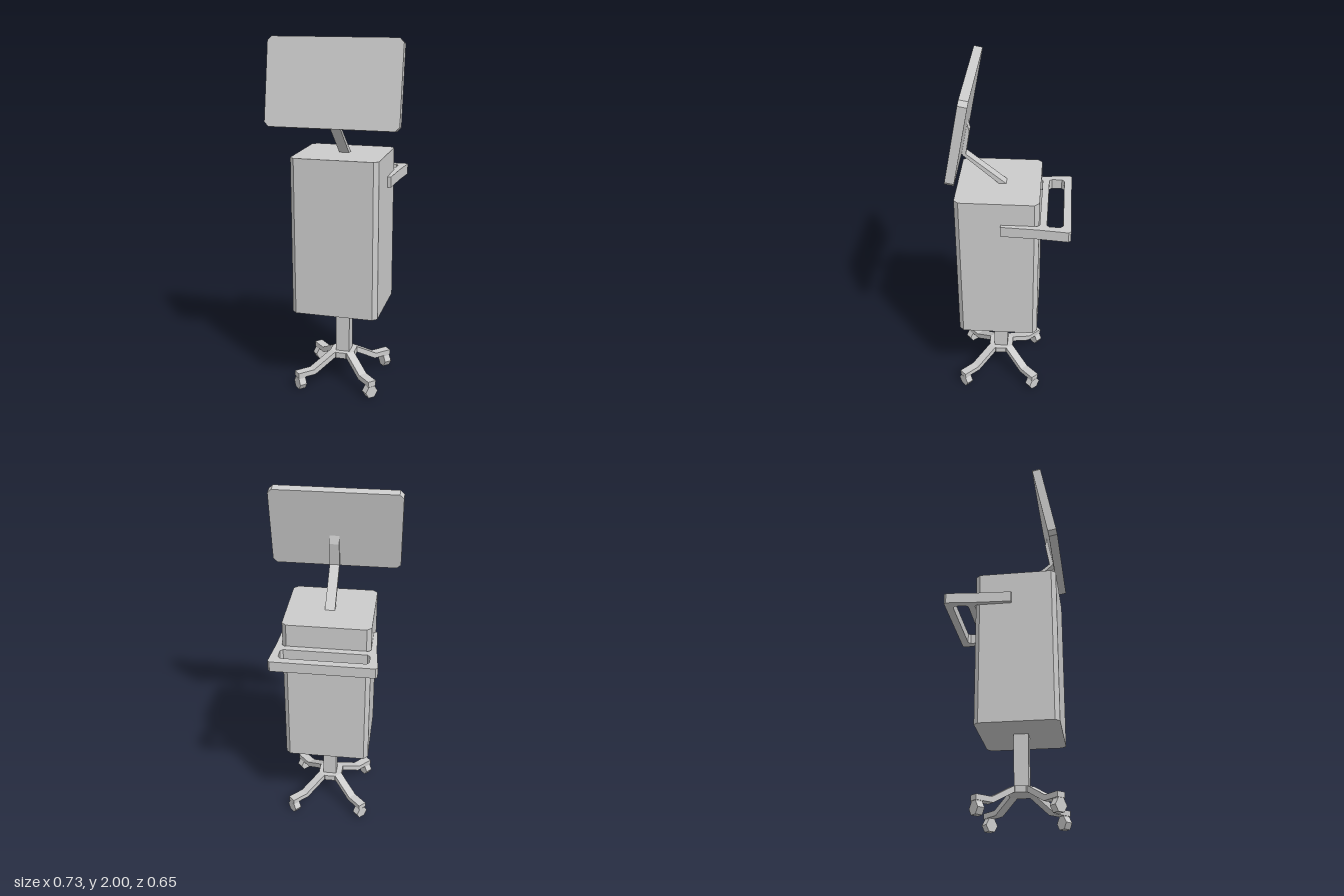
import * as THREE from 'three';

const material = new THREE.MeshStandardMaterial({ color: 0xcccccc, flatShading: true });

function mesh(name, geometry) {
  const m = new THREE.Mesh(geometry, material);
  m.name = name;
  return m;
}

const toVectors = (points) => points.map(([x, y]) => new THREE.Vector2(x, y));

// Straight prism from an outline, centred along its depth
function prism(points, depth, holes = []) {
  const shape = new THREE.Shape(toVectors(points));
  holes.forEach((h) => shape.holes.push(new THREE.Path(toVectors(h))));
  return new THREE.ExtrudeGeometry(shape, { depth, bevelEnabled: false }).translate(0, 0, -depth / 2);
}

// Rectangle outline with cut corners
function cutRect(x0, y0, x1, y1, c) {
  return [[x0 + c, y0], [x1 - c, y0], [x1, y0 + c], [x1, y1 - c],
    [x1 - c, y1], [x0 + c, y1], [x0, y1 - c], [x0, y0 + c]];
}

export function createModel() {
  const model = new THREE.Group();
  model.name = 'screenCart';
  const cx = 0.006, cz = 0.072;

  // Cabinet with chamfered upright edges
  const cabinet = mesh('cabinet',
    prism(cutRect(-0.245, -0.228, 0.245, 0.228, 0.025), 0.89).rotateX(-Math.PI / 2));
  cabinet.position.set(cx, 0.92, cz);
  model.add(cabinet);

  // Handle frame wrapping the back of the cabinet (outline: x, -z)
  const half = [[0.283, 0.328], [0.294, 0.315], [0.277, 0.15], [0.266, -0.05],
    [0.245, -0.05], [0.245, 0.146], [0.23, 0.16]];
  const outline = [...half, ...half.map(([x, y]) => [-x, y]).reverse()];
  const handle = mesh('handle',
    prism(outline, 0.06, [cutRect(-0.245, 0.198, 0.245, 0.285, 0.015)]).rotateX(-Math.PI / 2));
  handle.position.set(cx, 1.205, 0);
  model.add(handle);

  // Tilted screen
  const screen = mesh('screen', prism(cutRect(-0.365, -0.237, 0.365, 0.237, 0.023), 0.049));
  screen.position.set(0, 1.763, 0.255);
  screen.rotation.x = -0.191;
  model.add(screen);

  // Bent arm carrying the screen (outline: z, y)
  const arm = mesh('screenArm', prism([[0.015, 1.35], [0.25, 1.54], [0.227, 1.675], [0.239, 1.725],
    [0.255, 1.725], [0.285, 1.56], [0.265, 1.53], [0.058, 1.35]], 0.056).rotateY(-Math.PI / 2));
  arm.position.x = 0.009;
  model.add(arm);

  // Column and hub
  const column = mesh('column', new THREE.BoxGeometry(0.08, 0.33, 0.08));
  column.position.set(cx + 0.003, 0.315, cz);
  const hub = mesh('hub', new THREE.CylinderGeometry(0.078, 0.078, 0.035, 8).rotateY(Math.PI / 8));
  hub.position.set(cx, 0.1625, cz);
  model.add(column, hub);

  // Four diagonal legs, each with a six-sided wheel
  const legGeometry = prism([[0.03, 0.145], [0.075, 0.145], [0.205, 0.072], [0.315, 0.072],
    [0.315, 0.102], [0.215, 0.102], [0.075, 0.18], [0.03, 0.18]], 0.05);
  const forkGeometry = new THREE.BoxGeometry(0.04, 0.03, 0.042).translate(0.292, 0.064, 0);
  const wheelGeometry = new THREE.CylinderGeometry(0.039, 0.039, 0.042, 6)
    .rotateZ(Math.PI / 2).translate(0.292, 0.0338, 0);
  for (let i = 0; i < 4; i++) {
    const leg = new THREE.Group();
    leg.name = 'leg' + (i + 1);
    leg.add(mesh('legBar', legGeometry), mesh('wheelFork', forkGeometry), mesh('wheel', wheelGeometry));
    leg.position.set(cx, 0, cz);
    leg.rotation.y = Math.PI / 4 + i * Math.PI / 2;
    model.add(leg);
  }
  return model;
}
